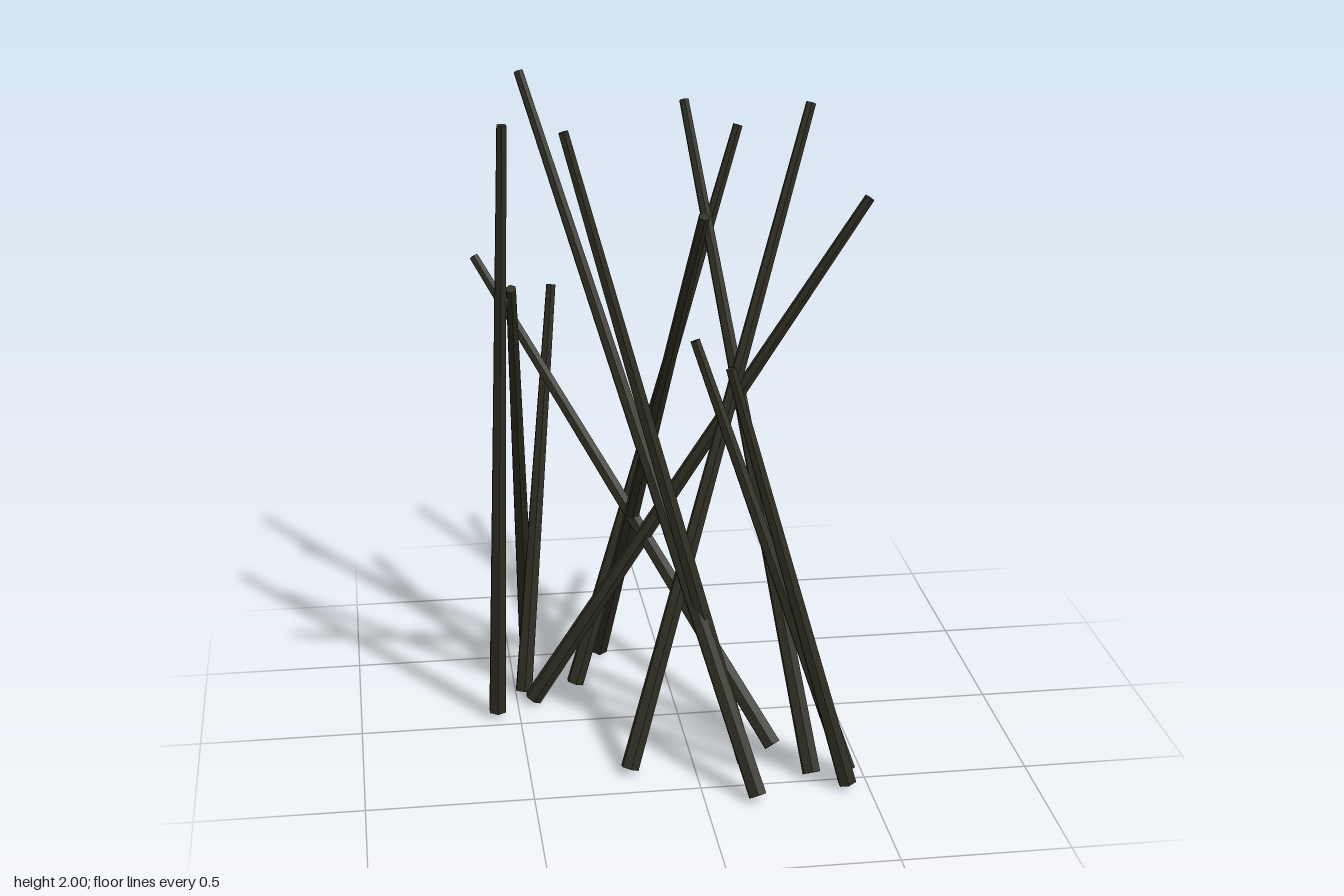
import * as THREE from 'three';

// Each pole: foot x, foot z, tip x, tip y, tip z
const POLES = [
  [-0.57, -0.065, -0.52, 1.94, 0.05],
  [0.155, 0.605, -0.43, 1.99, -0.465],
  [0.155, 0.375, -0.36, 1.96, 0.25],
  [-0.2, -0.485, 0.0, 1.775, 0.525],
  [0.34, 0.485, 0.102, 1.86, -0.585],
  [-0.305, -0.235, 0.265, 1.79, -0.52],
  [-0.2, 0.38, 0.435, 1.925, -0.195],
  [-0.45, -0.14, 0.575, 1.68, 0.025],
  [0.255, 0.288, -0.575, 1.365, -0.61],
  [-0.433, -0.605, -0.52, 1.52, 0.29],
  [-0.475, -0.2, -0.337, 1.29, -0.515],
  [0.45, 0.475, 0.025, 1.31, 0.19],
  [0.435, 0.56, 0.09, 1.305, 0.45],
];
const FOOT_Y = 0.018, FOOT_R = 0.029, TIP_R = 0.016;

export function createModel() {
  const group = new THREE.Group();
  group.name = 'leaningPoles';
  const darkWood = new THREE.MeshStandardMaterial({ color: 0x2c2c20, flatShading: true });
  darkWood.name = 'dark wood';
  const up = new THREE.Vector3(0, 1, 0);

  // Tapered six-sided poles, each leaning from its foot to its tip
  POLES.forEach(([fx, fz, tx, ty, tz], i) => {
    const foot = new THREE.Vector3(fx, FOOT_Y, fz);
    const tip = new THREE.Vector3(tx, ty, tz);
    const axis = tip.clone().sub(foot);
    const pole = new THREE.Mesh(
      new THREE.CylinderGeometry(TIP_R, FOOT_R, axis.length(), 6), darkWood);
    pole.name = `pole${i + 1}`;
    pole.position.copy(foot).lerp(tip, 0.5);
    pole.quaternion.setFromUnitVectors(up, axis.normalize());
    group.add(pole);
  });
  return group;
}
